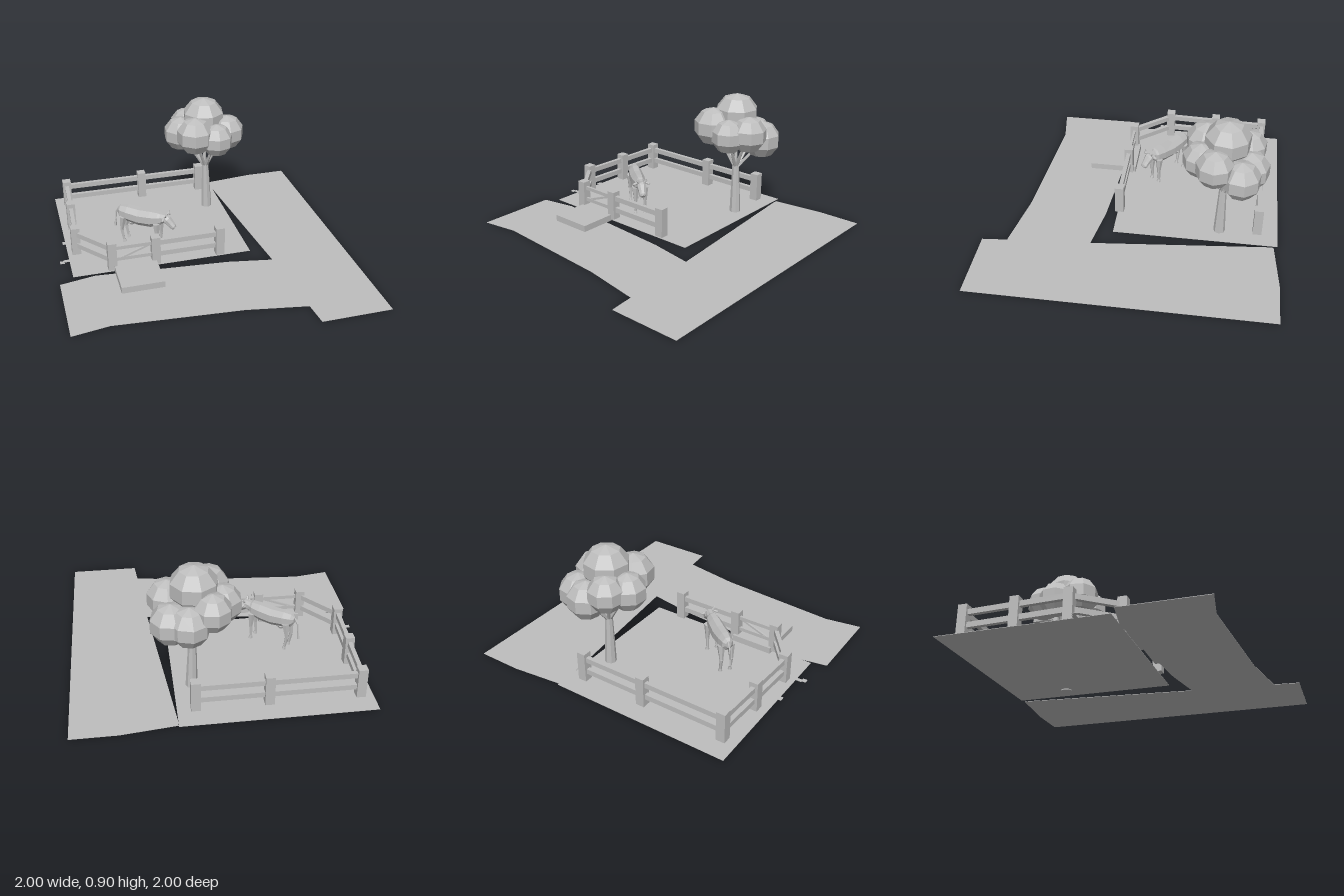
import * as THREE from 'three';

const grey = new THREE.MeshStandardMaterial({ color: 0xbebebe, flatShading: true });
grey.name = 'stone grey';

function add(parent, name, geometry, x = 0, y = 0, z = 0) {
  const mesh = new THREE.Mesh(geometry, grey);
  mesh.name = name;
  mesh.position.set(x, y, z);
  parent.add(mesh);
  return mesh;
}

// Thin flat slab from an outline of [x, z] points, with its top at height y
function slab(parent, name, outline, y, thickness = 0.003) {
  const shape = new THREE.Shape(outline.map(([x, z]) => new THREE.Vector2(x, -z)));
  const geo = new THREE.ExtrudeGeometry(shape, { depth: thickness, bevelEnabled: false });
  geo.rotateX(-Math.PI / 2);
  return add(parent, name, geo, 0, y - thickness, 0);
}

// Tapered round bar between two points
function bar(parent, name, a, b, r1, r2, sides = 6) {
  const from = new THREE.Vector3(...a), to = new THREE.Vector3(...b);
  const dir = to.clone().sub(from);
  const mesh = add(parent, name, new THREE.CylinderGeometry(r2, r1, dir.length(), sides));
  mesh.position.copy(from).add(to).multiplyScalar(0.5);
  mesh.quaternion.setFromUnitVectors(new THREE.Vector3(0, 1, 0), dir.normalize());
  return mesh;
}

// Square plank between two points
function plank(parent, name, a, b, height, depth) {
  const from = new THREE.Vector3(...a), to = new THREE.Vector3(...b);
  const mesh = add(parent, name, new THREE.BoxGeometry(depth, height, from.distanceTo(to)));
  mesh.position.copy(from).add(to).multiplyScalar(0.5);
  mesh.lookAt(to);
  return mesh;
}

// Closed loft along z through oval sections [z, y, halfWidth, halfHeight]
function loft(sections, sides = 8) {
  const pos = [], index = [];
  for (const [z, y, rx, ry] of sections) {
    for (let i = 0; i < sides; i++) {
      const a = ((i + 0.5) / sides) * Math.PI * 2;
      pos.push(Math.cos(a) * rx, y + Math.sin(a) * ry, z);
    }
  }
  const n = sections.length, first = n * sides, last = first + 1;
  pos.push(0, sections[0][1], sections[0][0], 0, sections[n - 1][1], sections[n - 1][0]);
  for (let i = 0; i < sides; i++) {
    const j = (i + 1) % sides;
    for (let s = 0; s < n - 1; s++) {
      const p = s * sides, q = p + sides;
      index.push(p + i, p + j, q + i, p + j, q + j, q + i);
    }
    index.push(first, j, i, last, (n - 1) * sides + i, (n - 1) * sides + j);
  }
  const geo = new THREE.BufferGeometry();
  geo.setAttribute('position', new THREE.Float32BufferAttribute(pos, 3));
  geo.setIndex(index);
  geo.computeVertexNormals();
  return geo;
}

function makeGround() {
  const g = new THREE.Group();
  g.name = 'ground';
  slab(g, 'road', [
    [-1, 0.18], [-0.76, 0.135], [0.15, 0.21], [0.46, 0.265], [0.34, -0.92], [0.34, -0.96],
    [0.7, -1], [1, -1], [1, 1], [0.52, 1], [0.505, 0.83], [0.1, 0.76], [-0.75, 0.695], [-1, 0.735]], 0.003);
  slab(g, 'yard', [[-0.905, -0.985], [0.34, -0.985], [0.34, 0.13], [-0.905, 0.13]], 0.015);
  // Small offcuts beside the yard
  slab(g, 'offcut', [[-0.925, -0.33], [-0.905, -0.33], [-0.905, -0.295], [-0.925, -0.295]], 0.015);
  slab(g, 'offcut', [[-0.97, -0.08], [-0.945, -0.08], [-0.945, -0.09], [-0.905, -0.09],
    [-0.905, -0.065], [-0.94, -0.065], [-0.94, -0.05], [-0.97, -0.05]], 0.015);
  add(g, 'entranceStep', new THREE.BoxGeometry(0.29, 0.045, 0.335), -0.48, 0.0375, 0.235);
  return g;
}

function makeFence() {
  const g = new THREE.Group();
  g.name = 'fence';
  const posts = [[0.225, -0.845], [-0.235, -0.845], [-0.815, -0.845], [-0.83, -0.495],
    [-0.845, -0.145], [-0.635, 0.115], [-0.335, 0.115], [0.118, 0.115]];
  posts.forEach(([x, z], i) => {
    add(g, 'fencePost', new THREE.BoxGeometry(0.06, 0.205, 0.06), x, 0.1325, z);
    if (i === 0) return;
    const [px, pz] = posts[i - 1];
    const gate = i === 6;
    for (const y of [0.1, 0.187]) {
      plank(g, gate ? 'gateRail' : 'fenceRail', [px, y, pz], [x, y, z], gate ? 0.025 : 0.036, gate ? 0.018 : 0.028);
    }
  });
  plank(g, 'gateBrace', [-0.61, 0.09, 0.115], [-0.36, 0.185, 0.115], 0.014, 0.014);
  return g;
}

function makeTree() {
  const g = new THREE.Group();
  g.name = 'tree';
  bar(g, 'trunk', [0.223, 0.006, -0.588], [0.213, 0.39, -0.592], 0.04, 0.024, 8);
  // Leaf clumps: x, y, z, radius
  const clumps = [
    [0.2, 0.752, -0.6, 0.158], [0.1, 0.672, -0.46, 0.138], [0.255, 0.632, -0.435, 0.122],
    [0.358, 0.645, -0.53, 0.13], [0.352, 0.57, -0.7, 0.135], [0.245, 0.575, -0.755, 0.132],
    [0.105, 0.65, -0.735, 0.125], [0.03, 0.635, -0.615, 0.127]];
  clumps.forEach(([x, y, z, r], i) => {
    const leaf = add(g, i ? 'leafClump' : 'leafCrown', new THREE.SphereGeometry(r, 8, 5), x, y, z);
    leaf.rotation.y = i ? Math.atan2(x - 0.2, z + 0.6) + Math.PI / 8 : 0.2;
    if (!i) leaf.scale.y = 0.94;
    bar(g, 'branch', [0.213, 0.345, -0.592], [x * 0.75 + 0.05, y - r * 0.6, z * 0.75 - 0.15], 0.014, 0.008, 5);
  });
  return g;
}

function makeCow() {
  const g = new THREE.Group();
  g.name = 'cow';
  add(g, 'body', loft([
    [-0.185, 0.25, 0.02, 0.025], [-0.165, 0.245, 0.04, 0.05], [-0.11, 0.238, 0.05, 0.062],
    [-0.02, 0.23, 0.054, 0.066], [0.07, 0.235, 0.05, 0.066], [0.13, 0.243, 0.042, 0.057], [0.16, 0.25, 0.026, 0.036]]));
  add(g, 'neck', loft([[0.1, 0.245, 0.034, 0.05], [0.155, 0.253, 0.03, 0.04], [0.195, 0.262, 0.026, 0.03]]));
  const head = new THREE.Group();
  head.name = 'head';
  head.position.set(0, 0.26, 0.185);
  head.rotation.x = 0.65;
  add(head, 'skull', loft([[-0.015, 0, 0.024, 0.026], [0.015, 0, 0.035, 0.033],
    [0.05, -0.004, 0.027, 0.027], [0.08, -0.008, 0.025, 0.023], [0.092, -0.01, 0.016, 0.015]]));
  g.add(head);
  for (const s of [-1, 1]) {
    // Ears and horns
    const ear = add(g, 'ear', new THREE.SphereGeometry(0.018, 6, 4), s * 0.046, 0.27, 0.185);
    ear.scale.set(1.1, 0.5, 0.6);
    ear.rotation.z = -s * 0.3;
    bar(g, 'horn', [s * 0.018, 0.28, 0.19], [s * 0.036, 0.297, 0.196], 0.008, 0.005, 5);
    bar(g, 'hornTip', [s * 0.036, 0.297, 0.196], [s * 0.034, 0.312, 0.2], 0.005, 0.001, 5);
    // Legs, each with thigh, shin and hoof
    for (const [z, bend] of [[0.125, 0.004], [-0.135, -0.014]]) {
      const x = s * 0.034;
      bar(g, 'thigh', [x, 0.22, z], [x, 0.115, z + bend], 0.027, 0.013);
      bar(g, 'shin', [x, 0.115, z + bend], [x, 0.035, z], 0.013, 0.009);
      bar(g, 'hoof', [x, 0.015, z + 0.004], [x, 0.037, z], 0.015, 0.01);
    }
  }
  const udder = add(g, 'udder', new THREE.SphereGeometry(0.026, 6, 4), 0, 0.172, -0.085);
  udder.scale.y = 0.8;
  // Tail
  bar(g, 'tail', [0, 0.27, -0.18], [0, 0.225, -0.208], 0.008, 0.006, 5);
  bar(g, 'tail', [0, 0.225, -0.208], [0, 0.15, -0.215], 0.006, 0.005, 5);
  bar(g, 'tailTuft', [0, 0.155, -0.215], [0, 0.11, -0.22], 0.006, 0.01, 5);
  g.position.set(-0.365, 0, -0.17);
  g.rotation.y = 0.9;
  return g;
}

export function createModel() {
  const model = new THREE.Group();
  model.name = 'farmyard';
  model.add(makeGround(), makeFence(), makeTree(), makeCow());
  return model;
}
